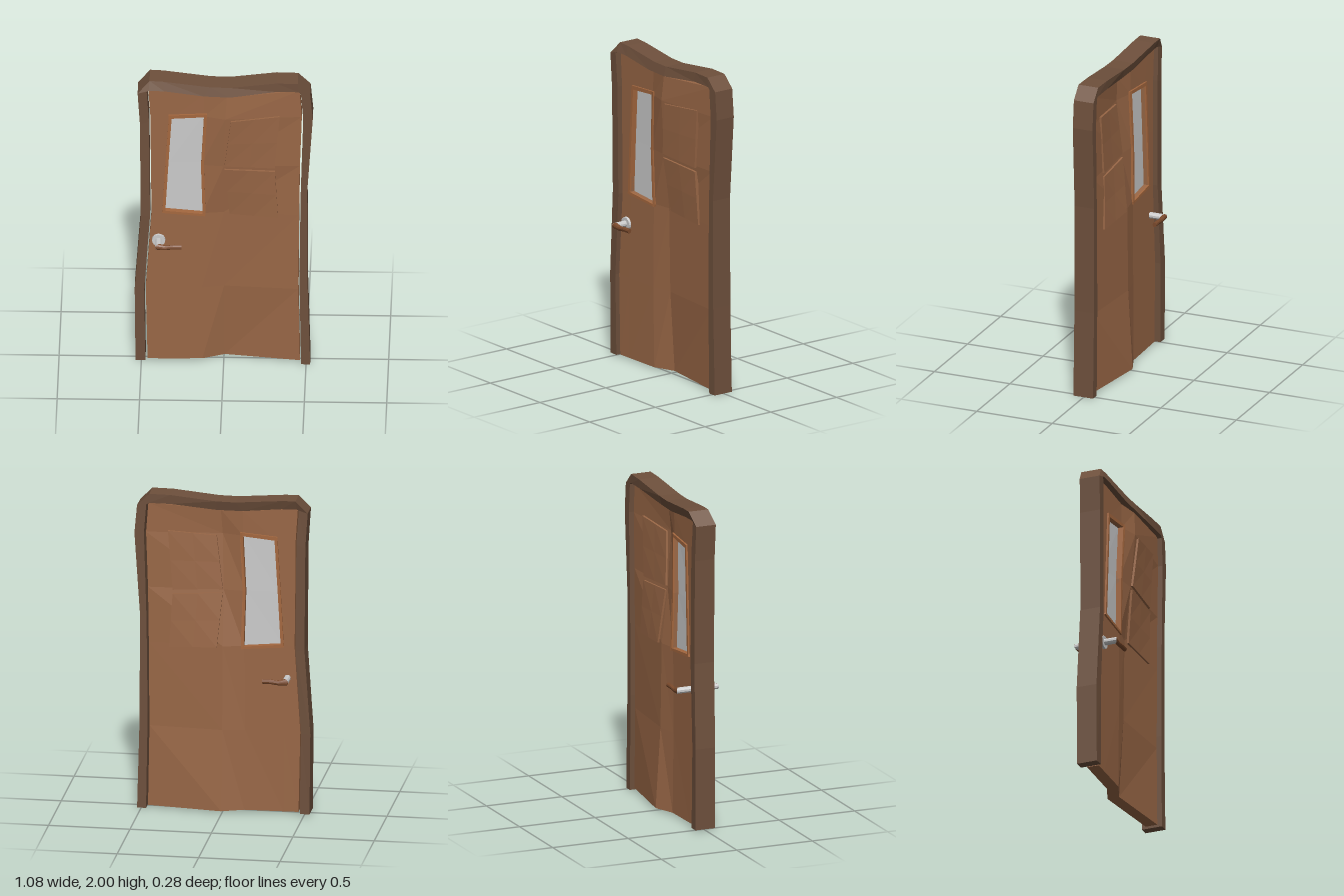
import * as THREE from 'three';

const paint = (color) => new THREE.MeshStandardMaterial({ color, flatShading: true, side: THREE.DoubleSide });
const wood = paint(0x996746), frameWood = paint(0x6e503c), trimWood = paint(0xa5683f);
const gripWood = paint(0x7a4a2c), grey = paint(0xcccccc);

// piecewise linear lookup in [position, value] pairs
function lerpTable(table, t) {
  if (t <= table[0][0]) return table[0][1];
  for (let i = 1; i < table.length; i++) {
    const [a, va] = table[i - 1], [b, vb] = table[i];
    if (t <= b) return va + (vb - va) * (t - a) / (b - a);
  }
  return table[table.length - 1][1];
}

// the warp of the door leaf: back at the foot, forward near the top, strongest mid-width
const warpX = [[-0.46, 0], [-0.13, 0.13], [0.005, 1], [0.46, 0]];
const warpY = [[0.01, -0.061], [0.52, -0.031], [1.05, -0.024], [1.4, 0.017], [1.75, 0.044], [1.94, 0.032]];
const warp = (x, y) => 0.003 + lerpTable(warpX, x) * lerpTable(warpY, y);

// thick sheet over a grid of [x, y, z?] points; cells for which hole(r, c) holds are left open
function slab(name, grid, half, material, hole = () => false) {
  const pos = [], R = grid.length - 1, C = grid[0].length - 1;
  const solid = (r, c) => r >= 0 && c >= 0 && r < R && c < C && !hole(r, c);
  const at = (r, c, s) => {
    const [x, y, z = warp(x, y)] = grid[r][c];
    return [x, y, z + s * half];
  };
  const quad = (a, b, c, d) => pos.push(...a, ...b, ...c, ...a, ...c, ...d);
  const wall = (r0, c0, r1, c1) => quad(at(r0, c0, -1), at(r1, c1, -1), at(r1, c1, 1), at(r0, c0, 1));
  for (let r = 0; r < R; r++) for (let c = 0; c < C; c++) {
    if (!solid(r, c)) continue;
    quad(at(r, c, 1), at(r, c + 1, 1), at(r + 1, c + 1, 1), at(r + 1, c, 1));
    quad(at(r, c, -1), at(r + 1, c, -1), at(r + 1, c + 1, -1), at(r, c + 1, -1));
    if (!solid(r - 1, c)) wall(r, c, r, c + 1);
    if (!solid(r, c + 1)) wall(r, c + 1, r + 1, c + 1);
    if (!solid(r + 1, c)) wall(r + 1, c + 1, r + 1, c);
    if (!solid(r, c - 1)) wall(r + 1, c, r, c);
  }
  const geo = new THREE.BufferGeometry();
  geo.setAttribute('position', new THREE.Float32BufferAttribute(pos, 3));
  geo.computeVertexNormals();
  const mesh = new THREE.Mesh(geo, material);
  mesh.name = name;
  return mesh;
}

// four-cornered panel split into a grid so that it follows the warp
function patch([bl, br, tr, tl], n = 2) {
  const mix = (a, b, t) => [a[0] + (b[0] - a[0]) * t, a[1] + (b[1] - a[1]) * t];
  return Array.from({ length: n + 1 }, (_, r) =>
    Array.from({ length: n + 1 }, (_, c) => mix(mix(bl, br, c / n), mix(tl, tr, c / n), r / n)));
}

function createHandle() {
  const handle = new THREE.Group();
  handle.name = 'handle';
  const add = (name, geo, material) => {
    const mesh = new THREE.Mesh(geo, material);
    mesh.name = name;
    handle.add(mesh);
  };
  const cx = -0.395, cy = 0.862;
  const mitre = (x) => 0.127 - (x - cx) * 0.67;

  // spindle through the leaf, both ends cut to the mitre
  const spindle = new THREE.CylinderGeometry(0.02, 0.02, 0.25, 10).rotateX(Math.PI / 2).translate(cx, cy, 0);
  const sp = spindle.attributes.position;
  for (let i = 0; i < sp.count; i++) sp.setZ(i, Math.sign(sp.getZ(i)) * mitre(sp.getX(i)));
  add('spindle', spindle, grey);

  // one lever on each face, slightly drooped in the middle
  for (const side of [1, -1]) {
    const grip = new THREE.CylinderGeometry(1, 1, 1, 10, 3).rotateZ(-Math.PI / 2).translate(0.5, 0, 0);
    const p = grip.attributes.position;
    for (let i = 0; i < p.count; i++) {
      const t = p.getX(i), z = p.getZ(i) * 0.0135;
      const start = cx - z / 0.67;
      const droop = t > 0.2 && t < 0.5 ? -0.006 : 0;
      const thick = t < 0.1 ? 0.02 : 0.015;
      p.setXYZ(i, start + (-0.255 - start) * t, cy + droop + p.getY(i) * thick, side * (0.127 + z));
    }
    grip.computeVertexNormals();
    add(side > 0 ? 'frontLever' : 'backLever', grip, gripWood);
  }

  add('rosette', new THREE.CylinderGeometry(0.04, 0.042, 0.02, 16).rotateX(Math.PI / 2).translate(cx, cy, 0.045), grey);
  return handle;
}

export function createModel() {
  const door = new THREE.Group();
  door.name = 'door';

  // surround: outer x, y, z and inner x, y, z, up the left, across the top, down the right
  const frame = [
    [-0.535, 0.01, -0.006, -0.475, 0.01, -0.004], [-0.54, 0.52, -0.006, -0.482, 0.52, -0.002],
    [-0.503, 1.05, 0.002, -0.447, 1.04, 0.002], [-0.508, 1.7, 0.004, -0.453, 1.72, 0.004],
    [-0.522, 1.92, 0.006, -0.467, 1.935, 0.008], [-0.45, 2, -0.013, -0.455, 1.942, 0.008],
    [-0.37, 1.998, -0.01, -0.36, 1.94, 0.008], [-0.08, 1.97, 0.004, -0.12, 1.913, 0.018],
    [0.04, 1.97, 0.008, 0.04, 1.911, 0.024], [0.32, 2, -0.002, 0.32, 1.942, 0.002],
    [0.45, 2, 0.002, 0.455, 1.942, 0.002], [0.525, 1.925, 0, 0.469, 1.93, 0.002],
    [0.541, 1.75, 0, 0.483, 1.75, 0.002], [0.507, 1.23, 0.003, 0.467, 1.2, 0.003],
    [0.51, 0.55, 0.003, 0.46, 0.6, 0.003], [0.525, 0, 0.003, 0.47, 0, 0.003],
  ].map((p) => [p.slice(0, 3), p.slice(3)]);
  door.add(slab('frame', frame, 0.065, frameWood));

  // leaf with an opening for the window
  const leaf = [
    [[-0.462, 0.012], [-0.37, 0.012], [-0.13, 0.012], [0.005, 0.012], [0.462, 0.012]],
    [[-0.473, 0.52], [-0.37, 0.52], [-0.135, 0.52], [0.002, 0.52], [0.453, 0.52]],
    [[-0.438, 1.06], [-0.354, 1.073], [-0.128, 1.052], [0, 1.05], [0.457, 1.05]],
    [[-0.442, 1.4], [-0.336, 1.4], [-0.138, 1.4], [0, 1.4], [0.462, 1.4]],
    [[-0.445, 1.74], [-0.316, 1.733], [-0.12, 1.75], [0.01, 1.75], [0.474, 1.75]],
    [[-0.458, 1.935], [-0.36, 1.932], [-0.12, 1.906], [0.02, 1.903], [0.46, 1.935]],
  ];
  door.add(slab('leaf', leaf, 0.038, wood, (r, c) => c === 1 && (r === 2 || r === 3)));

  // window pane and its raised surround
  const inner = leaf.slice(2, 5).map((row) => [row[1], row[2]]);
  door.add(slab('windowPane', inner, 0.014, grey));
  const trim = [
    [[-0.375, 1.06], [-0.354, 1.055], [-0.128, 1.037], [-0.114, 1.034]],
    ...inner.map(([l, r]) => [[l[0] - 0.018, l[1]], l, r, [r[0] + 0.018, r[1]]]),
    [[-0.334, 1.755], [-0.316, 1.757], [-0.12, 1.771], [-0.102, 1.772]],
  ];
  door.add(slab('windowTrim', trim, 0.049, trimWood, (r, c) => c === 1 && (r === 1 || r === 2)));

  // two raised panels, showing on both faces
  door.add(slab('upperPanel', patch([[0.005, 1.408], [0.31, 1.39], [0.34, 1.762], [0.045, 1.738]]), 0.051, wood));
  door.add(slab('lowerPanel', patch([[0.035, 1.045], [0.33, 1.03], [0.31, 1.365], [0.005, 1.382]]), 0.051, wood));

  door.add(createHandle());
  return door;
}
